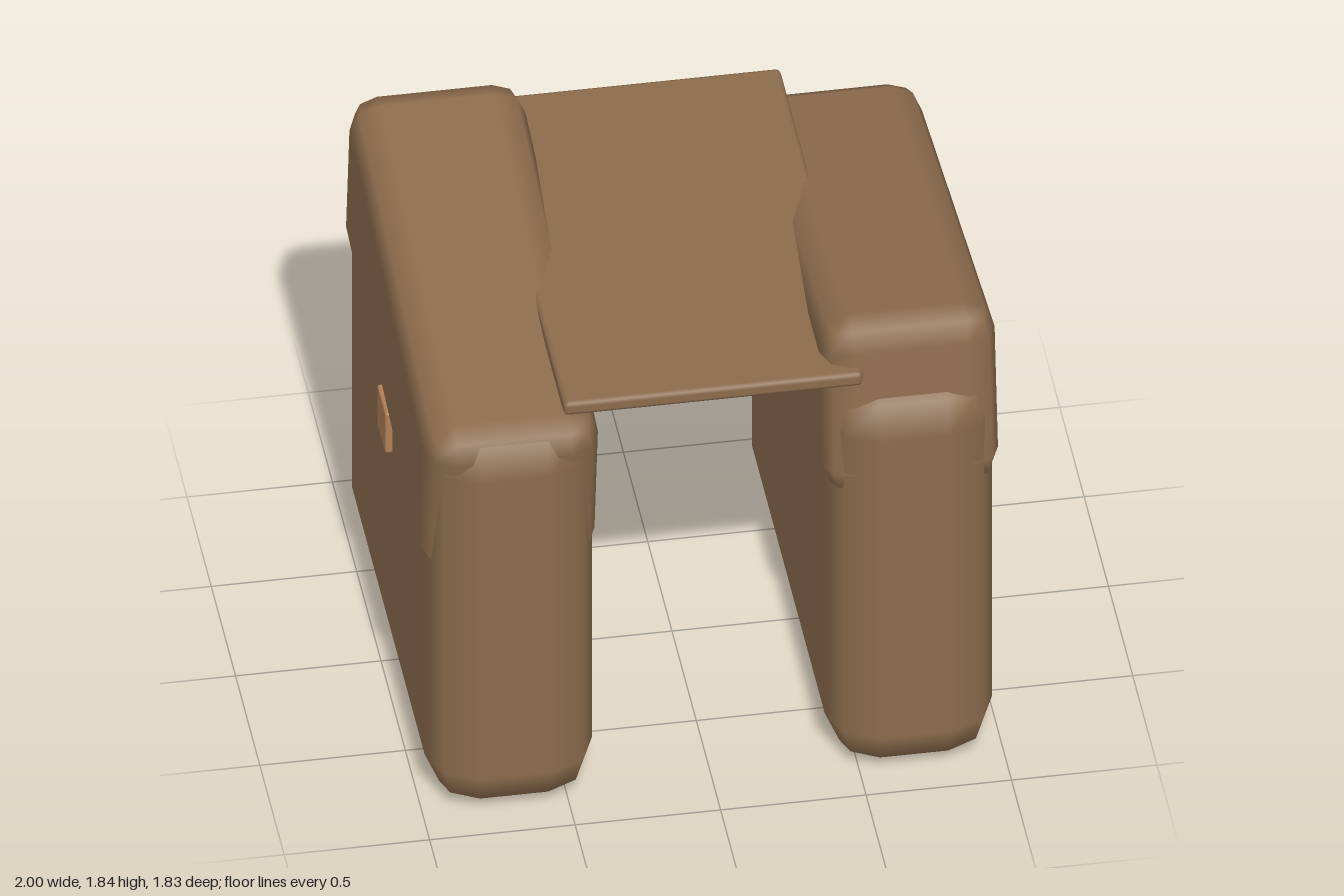
import * as THREE from 'three';

// Box whose edges are rounded by a two-step bevel of radius r, with smooth normals
function bevelBox(w, h, d, r) {
  const geo = new THREE.BoxGeometry(1, 1, 1, 3, 3, 3);
  const pos = geo.attributes.position;
  const nor = geo.attributes.normal;
  const core = new THREE.Vector3(w / 2 - r, h / 2 - r, d / 2 - r);
  const p = new THREE.Vector3();
  const dir = new THREE.Vector3();
  const outer = (c) => (Math.abs(c) > 0.3 ? Math.sign(c) : 0);
  for (let i = 0; i < pos.count; i++) {
    p.fromBufferAttribute(pos, i);
    dir.set(outer(p.x), outer(p.y), outer(p.z)).normalize();
    nor.setXYZ(i, dir.x, dir.y, dir.z);
    pos.setXYZ(
      i,
      Math.sign(p.x) * core.x + dir.x * r,
      Math.sign(p.y) * core.y + dir.y * r,
      Math.sign(p.z) * core.z + dir.z * r
    );
  }
  return geo;
}

export function createModel() {
  const model = new THREE.Group();
  model.name = 'saddlebags';

  const leather = new THREE.MeshStandardMaterial({ color: 0x8b6b4c });
  leather.name = 'leather';
  const tan = new THREE.MeshStandardMaterial({ color: 0xb07f58 });
  tan.name = 'tanBuckle';

  const add = (parent, name, geo, mat, x, y, z) => {
    const mesh = new THREE.Mesh(geo, mat);
    mesh.name = name;
    mesh.position.set(x, y, z);
    parent.add(mesh);
    return mesh;
  };

  const bagGeo = bevelBox(0.575, 1.61, 1.833, 0.17);
  const flapGeo = bevelBox(0.605, 0.68, 1.717, 0.105);
  const buckleGeo = bevelBox(0.03, 0.17, 0.17, 0.008);

  // One bag on each side; the flaps tilt in opposite directions
  for (const side of [1, -1]) {
    const bag = new THREE.Group();
    bag.name = side > 0 ? 'leftBag' : 'rightBag';
    add(bag, 'pouch', bagGeo, leather, side * 0.6875, 0.805, 0);
    const flap = add(bag, 'flap', flapGeo, leather, side * 0.6875, 1.388, 0);
    flap.rotation.x = -side * 0.1475;
    add(bag, 'buckle', buckleGeo, tan, side * 0.985, 1.04, 0);
    model.add(bag);
  }

  // Wide strap joining the two bags
  add(model, 'strap', bevelBox(1.03, 0.055, 1.715, 0.017), leather, 0, 1.672, 0);

  return model;
}
